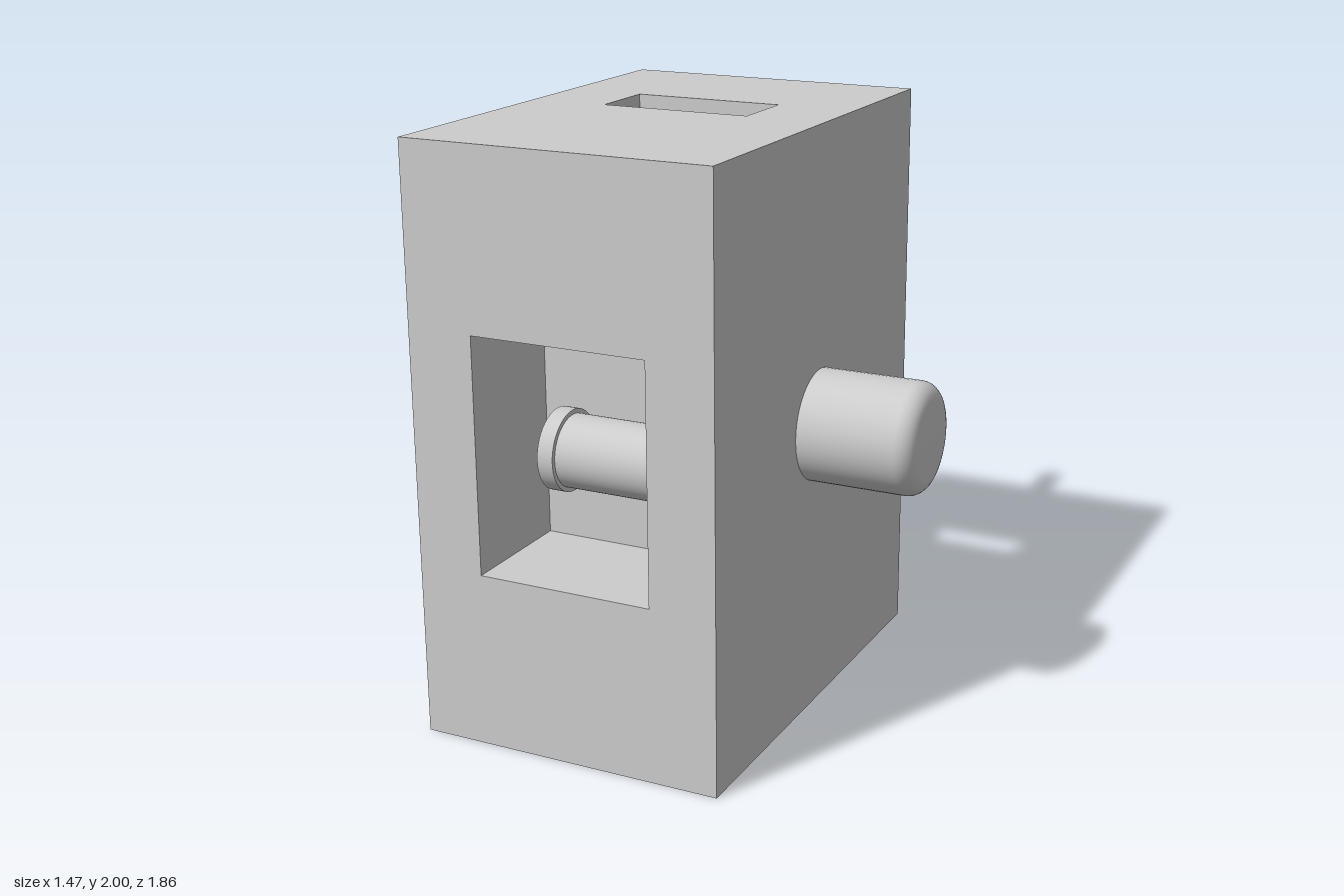
import * as THREE from 'three';

const grey = new THREE.MeshStandardMaterial({ color: 0xcccccc, side: THREE.DoubleSide });
grey.name = 'plain grey';

// Main dimensions: outer block, window pocket, inner cavity, top slot
const B = { x0: -0.735, x1: 0.335, y0: 0, y1: 2, z0: -0.625, z1: 0.93 };
const W = { x0: -0.505, x1: 0.105, y0: 0.6, y1: 1.4, z0: 0.5, z1: B.z1 };
const C = { x0: -0.585, x1: 0.185, y0: 0.29, y1: 1.81, z0: -0.36, z1: 0.38 };
const S = { x0: -0.465, x1: 0.06, y0: C.y1, y1: B.y1, z0: -0.11, z1: 0.135 };
const OPEN_BOTTOM = 0.2, OPEN_TOP = 1.7, RAMP_END = -0.11;
const AXIS = { y: 1, z: 0.155 }, BORE = 0.205;

// Flat panel directions: local u and v axes, the panel faces u x v
const V = (x, y, z) => new THREE.Vector3(x, y, z);
const FACING = {
  front: [V(1, 0, 0), V(0, 1, 0)],
  back: [V(-1, 0, 0), V(0, 1, 0)],
  up: [V(1, 0, 0), V(0, 0, -1)],
  down: [V(1, 0, 0), V(0, 0, 1)],
  left: [V(0, 0, -1), V(0, 1, 0)],
  right: [V(0, 0, 1), V(0, 1, 0)],
};

const corners = (points) => points.map(([u, v]) => new THREE.Vector2(u, v));
const circle = (u, v, r) => new THREE.Path().absarc(u, v, r, 0, Math.PI * 2, true);

// Rectangle of a box as seen in the local axes of one of its sides
function rect(b, facing) {
  const [u, v] = FACING[facing];
  const a = V(b.x0, b.y0, b.z0), c = V(b.x1, b.y1, b.z1);
  const [u0, u1, v0, v1] = [a.dot(u), c.dot(u), a.dot(v), c.dot(v)];
  return corners([[u0, v0], [u1, v0], [u1, v1], [u0, v1]]);
}

function panel(group, name, facing, at, outline, hole) {
  const [u, v] = FACING[facing];
  const n = u.clone().cross(v);
  const shape = new THREE.Shape(outline);
  if (hole) shape.holes.push(hole);
  const geometry = new THREE.ShapeGeometry(shape, 24);
  const offset = n.clone().multiplyScalar(at * (n.x + n.y + n.z));
  geometry.applyMatrix4(new THREE.Matrix4().makeBasis(u, v, n).setPosition(offset));
  addMesh(group, name, geometry);
}

function addMesh(group, name, geometry) {
  const mesh = new THREE.Mesh(geometry, grey);
  mesh.name = name;
  group.add(mesh);
  return mesh;
}

function addGroup(parent, name) {
  const group = new THREE.Group();
  group.name = name;
  parent.add(group);
  return group;
}

// Solid of revolution about x from [x, radius] points
function turned(group, name, points, y, z) {
  const geometry = new THREE.LatheGeometry(corners(points.map(([x, r]) => [r, x])), 48);
  geometry.rotateZ(-Math.PI / 2);
  addMesh(group, name, geometry).position.set(0, y, z);
}

function rod(group, name, x0, x1, r, y, z) {
  const geometry = new THREE.CylinderGeometry(r, r, x1 - x0, 48);
  geometry.rotateZ(Math.PI / 2);
  addMesh(group, name, geometry).position.set((x0 + x1) / 2, y, z);
}

export function createModel() {
  const model = new THREE.Group();
  model.name = 'housing';

  // Outer shell with its openings
  const shell = addGroup(model, 'outerShell');
  const opening = { ...C, y0: OPEN_BOTTOM, y1: OPEN_TOP };
  panel(shell, 'frontFace', 'front', B.z1, rect(B, 'front'), new THREE.Path(rect(W, 'front')));
  panel(shell, 'backFace', 'back', B.z0, rect(B, 'back'), new THREE.Path(rect(opening, 'back')));
  panel(shell, 'topFace', 'up', B.y1, rect(B, 'up'), new THREE.Path(rect(S, 'up')));
  panel(shell, 'bottomFace', 'down', B.y0, rect(B, 'down'));
  panel(shell, 'leftFace', 'left', B.x1, rect(B, 'left'));
  panel(shell, 'rightFace', 'right', B.x0, rect(B, 'right'), circle(AXIS.z, AXIS.y, BORE));

  // Window pocket in the front
  const pocket = addGroup(model, 'windowPocket');
  panel(pocket, 'pocketBack', 'front', W.z0, rect(W, 'front'));
  panel(pocket, 'pocketFloor', 'up', W.y0, rect(W, 'up'));
  panel(pocket, 'pocketCeiling', 'down', W.y1, rect(W, 'down'));
  panel(pocket, 'pocketRightWall', 'left', W.x0, rect(W, 'left'));
  panel(pocket, 'pocketLeftWall', 'right', W.x1, rect(W, 'right'));

  // Slot through the top
  const slot = addGroup(model, 'topSlot');
  panel(slot, 'slotBackWall', 'front', S.z0, rect(S, 'front'));
  panel(slot, 'slotFrontWall', 'back', S.z1, rect(S, 'back'));
  panel(slot, 'slotRightWall', 'left', S.x0, rect(S, 'left'));
  panel(slot, 'slotLeftWall', 'right', S.x1, rect(S, 'right'));

  // Inner cavity: side walls share a profile with a ramp and a stepped ceiling
  const cavity = addGroup(model, 'innerCavity');
  const profile = [
    [B.z0, OPEN_BOTTOM], [RAMP_END, C.y0], [C.z1, C.y0], [C.z1, C.y1],
    [C.z0, C.y1], [C.z0, OPEN_TOP], [B.z0, OPEN_TOP],
  ];
  panel(cavity, 'cavityLeftWall', 'right', C.x1, corners(profile));
  panel(cavity, 'cavityRightWall', 'left', C.x0, corners(profile.map(([z, y]) => [-z, y])),
    circle(-AXIS.z, AXIS.y, BORE));
  panel(cavity, 'cavityFrontWall', 'back', C.z1, rect(C, 'back'));
  panel(cavity, 'cavityFloor', 'up', C.y0, rect({ ...C, z0: RAMP_END }, 'up'));
  panel(cavity, 'cavityCeiling', 'down', C.y1, rect(C, 'down'), new THREE.Path(rect(S, 'down')));
  panel(cavity, 'ceilingStep', 'front', C.z0, rect({ ...C, y0: OPEN_TOP }, 'front'));
  panel(cavity, 'lowCeiling', 'down', OPEN_TOP, rect({ ...C, z0: B.z0, z1: C.z0 }, 'down'));

  // Ramp leading from the back opening to the raised floor
  const rise = C.y0 - OPEN_BOTTOM, run = RAMP_END - B.z0;
  const rampGeometry = new THREE.PlaneGeometry(C.x1 - C.x0, Math.hypot(rise, run));
  rampGeometry.rotateX(-Math.PI / 2 - Math.atan2(rise, run));
  addMesh(cavity, 'floorRamp', rampGeometry).position.set(
    (C.x0 + C.x1) / 2, (C.y0 + OPEN_BOTTOM) / 2, (RAMP_END + B.z0) / 2);

  // Round bore through the right wall
  const bore = new THREE.CylinderGeometry(BORE, BORE, C.x0 - B.x0, 48, 1, true);
  bore.rotateZ(Math.PI / 2);
  addMesh(model, 'sideBore', bore).position.set((B.x0 + C.x0) / 2, AXIS.y, AXIS.z);

  // Side button with a rounded rim
  const fillet = 0.06, radius = 0.19, tip = 0.73;
  const rim = [];
  for (let i = 0; i <= 8; i++) {
    const a = (i / 8) * Math.PI / 2;
    rim.push([tip - fillet + fillet * Math.sin(a), radius - fillet + fillet * Math.cos(a)]);
  }
  turned(model, 'sideButton', [[B.x1, radius], ...rim, [tip, 0]], AXIS.y, AXIS.z);

  // Headed plunger inside the window
  const plunger = addGroup(model, 'plunger');
  rod(plunger, 'plungerShaft', -0.265, W.x1, 0.12, 1, 0.73);
  rod(plunger, 'plungerHead', -0.32, -0.265, 0.135, 1, 0.73);

  // Mounting pins on the back
  for (const [name, y] of [['lowerPin', 0.155], ['upperPin', 1.85]]) {
    const pin = new THREE.CylinderGeometry(0.045, 0.045, 0.305, 32);
    pin.rotateX(Math.PI / 2);
    addMesh(model, name, pin).position.set(-0.2, y, B.z0 - 0.1525);
  }

  return model;
}
